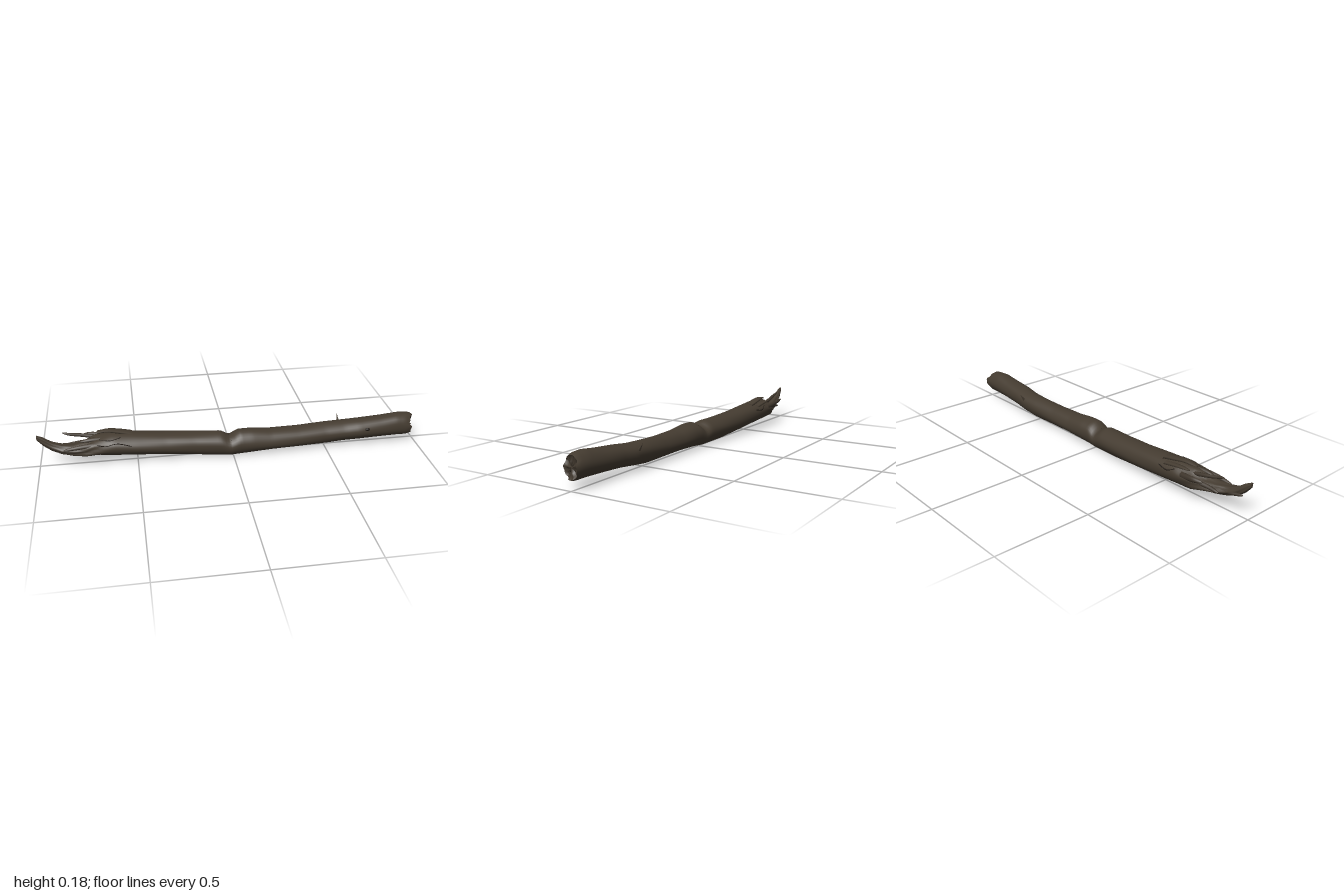
import * as THREE from 'three';

const SIDES = 32;

const bark = new THREE.MeshStandardMaterial({ color: 0x453c31 });
bark.name = 'dark bark';
const wood = new THREE.MeshStandardMaterial({ color: 0x40372d });
wood.name = 'weathered wood';
const crack = new THREE.MeshStandardMaterial({ color: 0x1f1914 });
crack.name = 'deep crack';

// Log outline along x: [x, bottom, top, back z, front z]
const OUTLINE = [
  [-1.0, 0.165, 0.19, 0.0, 0.014],
  [-0.97, 0.13, 0.175, -0.008, 0.018],
  [-0.93, 0.098, 0.145, -0.015, 0.022],
  [-0.88, 0.08, 0.128, -0.022, 0.038],
  [-0.82, 0.068, 0.122, -0.04, 0.05],
  [-0.76, 0.06, 0.13, -0.058, 0.058],
  [-0.72, 0.055, 0.15, -0.082, 0.06],
  [-0.62, 0.047, 0.163, -0.088, 0.066],
  [-0.5, 0.038, 0.154, -0.084, 0.067],
  [-0.35, 0.025, 0.143, -0.078, 0.064],
  [-0.2, 0.013, 0.137, -0.07, 0.068],
  [-0.06, 0.006, 0.133, -0.06, 0.078],
  [-0.015, 0.005, 0.108, -0.055, 0.081],
  [0.03, 0.007, 0.138, -0.054, 0.083],
  [0.1, 0.011, 0.138, -0.055, 0.084],
  [0.2, 0.016, 0.127, -0.053, 0.08],
  [0.35, 0.018, 0.127, -0.054, 0.073],
  [0.5, 0.02, 0.134, -0.06, 0.065],
  [0.6, 0.029, 0.138, -0.061, 0.067],
  [0.68, 0.035, 0.146, -0.052, 0.075],
  [0.8, 0.04, 0.156, -0.046, 0.075],
  [0.9, 0.043, 0.168, -0.042, 0.075],
  [0.96, 0.043, 0.165, -0.04, 0.074],
  [0.98, 0.048, 0.158, -0.036, 0.068],
];

function sectionAt(x) {
  let i = 0;
  while (i < OUTLINE.length - 2 && x > OUTLINE[i + 1][0]) i++;
  const a = OUTLINE[i], b = OUTLINE[i + 1];
  const t = THREE.MathUtils.clamp((x - a[0]) / (b[0] - a[0]), 0, 1);
  return a.map((v, k) => v + (b[k] - v) * t);
}

// Point on the bark; angle 0 is up and a quarter turn is the front
function logPoint(x, angle, grow = 1) {
  const [, bottom, top, back, front] = sectionAt(x);
  const ragged = 1 - THREE.MathUtils.smoothstep(x, -0.78, -0.6);
  const bump = 1 - 0.012 + 0.015 * Math.sin(angle * 3 + x * 7) + 0.012 * Math.sin(angle * 5 - x * 11 + 1)
    + ragged * 0.1 * Math.sin(angle * 6 + x * 23);
  const y = (bottom + top) / 2 + (top - bottom) / 2 * Math.cos(angle) * bump * grow;
  const z = (back + front) / 2 + (front - back) / 2 * Math.sin(angle) * bump * grow;
  // the right end is broken off on a slant
  const slant = THREE.MathUtils.smoothstep(x, 0.8, 0.98);
  const jag = 0.006 * Math.sin(angle * 4 + 1) + 0.004 * Math.sin(angle * 9);
  return new THREE.Vector3(x + slant * (-0.33 * (z - 0.015) - 0.1 * (y - 0.1) + jag), y, z);
}

// Skin over rings that run from -x to +x, with optional closed ends
function loft(rings, capStart, capEnd) {
  const n = rings[0].length, pos = [], index = [];
  rings.forEach(r => r.forEach(p => pos.push(p.x, p.y, p.z)));
  for (let i = 0; i < rings.length - 1; i++) {
    for (let j = 0; j < n; j++) {
      const a = i * n + j, b = i * n + (j + 1) % n;
      index.push(a, b, b + n, a, b + n, a + n);
    }
  }
  const cap = (ring, flip) => {
    const start = pos.length / 3;
    const c = ring.reduce((s, p) => s.add(p), new THREE.Vector3()).divideScalar(n);
    [...ring, c].forEach(p => pos.push(p.x, p.y, p.z));
    for (let j = 0; j < n; j++) {
      const a = start + j, b = start + (j + 1) % n;
      index.push(...(flip ? [b, a, start + n] : [a, b, start + n]));
    }
  };
  if (capStart) cap(rings[0], true);
  if (capEnd) cap(rings[rings.length - 1], false);
  const g = new THREE.BufferGeometry();
  g.setAttribute('position', new THREE.Float32BufferAttribute(pos, 3));
  g.setIndex(index);
  g.computeVertexNormals();
  return g;
}

const ringAt = (x, grow) => Array.from({ length: SIDES }, (_, j) => logPoint(x, j / SIDES * Math.PI * 2, grow));

// Pointed sliver from its tip (low x) to its root (high x)
function sliver(points, height, width) {
  const curve = new THREE.CatmullRomCurve3(points.map(p => new THREE.Vector3(...p)));
  const rings = [];
  for (let i = 0; i <= 10; i++) {
    const t = i / 10, p = curve.getPoint(t), s = 0.2 + 0.8 * Math.sqrt(t);
    rings.push(Array.from({ length: 7 }, (_, j) => {
      const a = j / 7 * Math.PI * 2;
      return new THREE.Vector3(p.x, p.y + Math.cos(a) * height * s, p.z + Math.sin(a) * width * s);
    }));
  }
  return loft(rings, true, true);
}

// Thin dark line lying on the bark through [x, angle] points
function crackLine(points, radius) {
  const curve = new THREE.CatmullRomCurve3(points.map(([x, a]) => logPoint(x, a, 0.995)));
  return new THREE.TubeGeometry(curve, 20, radius, 5);
}

export function createModel() {
  const model = new THREE.Group();
  model.name = 'fallenLog';
  const add = (name, geometry, material) => {
    const mesh = new THREE.Mesh(geometry, material);
    mesh.name = name;
    model.add(mesh);
    return mesh;
  };

  // Main trunk
  const rings = [];
  for (let i = 0; i <= 132; i++) rings.push(ringAt(-1 + 1.98 * i / 132));
  add('trunk', loft(rings, true, false), bark);

  // Rough face of the right end, hollowed a little
  const faceRings = [1, 0.8, 0.5, 0.2].map((g, k) => {
    const ring = ringAt(0.98, g);
    ring.forEach((p, j) => { p.x -= k ? 0.008 + 0.006 * Math.sin(j * 2.1 + k * 2) : 0; });
    return ring;
  });
  add('brokenEndFace', loft(faceRings, false, true), wood);

  // Slivers around the shattered left end
  const slivers = [
    [[[-0.875, 0.176, -0.03], [-0.84, 0.165, -0.028], [-0.78, 0.152, -0.035], [-0.7, 0.135, -0.035]], 0.011, 0.012],
    [[[-0.785, 0.13, -0.07], [-0.74, 0.13, -0.077], [-0.66, 0.12, -0.07]], 0.018, 0.014],
    [[[-0.86, 0.1, -0.045], [-0.8, 0.105, -0.042], [-0.7, 0.11, -0.05]], 0.014, 0.014],
    [[[-0.87, 0.11, 0.042], [-0.8, 0.12, 0.042], [-0.7, 0.125, 0.035]], 0.014, 0.014],
    [[[-0.97, 0.12, -0.012], [-0.92, 0.11, -0.012], [-0.82, 0.1, -0.015]], 0.012, 0.012],
    [[[-0.79, 0.135, 0.01], [-0.74, 0.142, 0.01], [-0.66, 0.14, 0.0]], 0.012, 0.016],
  ];
  slivers.forEach(([pts, h, w], i) => add('sliver' + (i + 1), sliver(pts, h, w), wood));

  // Lifted bark flakes above the break
  const flakes = [
    [[[-0.71, 0.166, -0.02], [-0.65, 0.172, -0.025], [-0.59, 0.163, -0.025], [-0.52, 0.148, -0.02]], 0.01, 0.03],
    [[[-0.7, 0.155, -0.06], [-0.63, 0.15, -0.058], [-0.55, 0.138, -0.055]], 0.01, 0.02],
  ];
  flakes.forEach(([pts, h, w], i) => add('barkFlake' + (i + 1), sliver(pts, h, w), bark));

  // Twig stub on the back and a knot on the front
  const stub = add('twigStub', new THREE.ConeGeometry(0.009, 0.05, 7), bark);
  stub.position.set(0.59, 0.123, -0.06);
  stub.rotation.x = -0.6;
  const knot = add('knot', new THREE.SphereGeometry(0.011, 10, 8), crack);
  knot.position.copy(logPoint(0.72, 1.25, 0.96));
  knot.scale.set(1.2, 0.8, 0.8);

  // Cracks in the bark
  const cracks = [
    [[-0.7, 1.0], [-0.66, 1.2], [-0.6, 1.05], [-0.53, 1.25]],
    [[-0.69, 0.5], [-0.64, 0.75], [-0.58, 0.5]],
    [[-0.62, 5.3], [-0.58, 5.0], [-0.52, 5.2]],
    [[-0.015, -0.7], [-0.02, 0], [-0.012, 0.7]],
  ];
  cracks.forEach((pts, i) => add('crack' + (i + 1), crackLine(pts, 0.0025), crack));

  return model;
}
